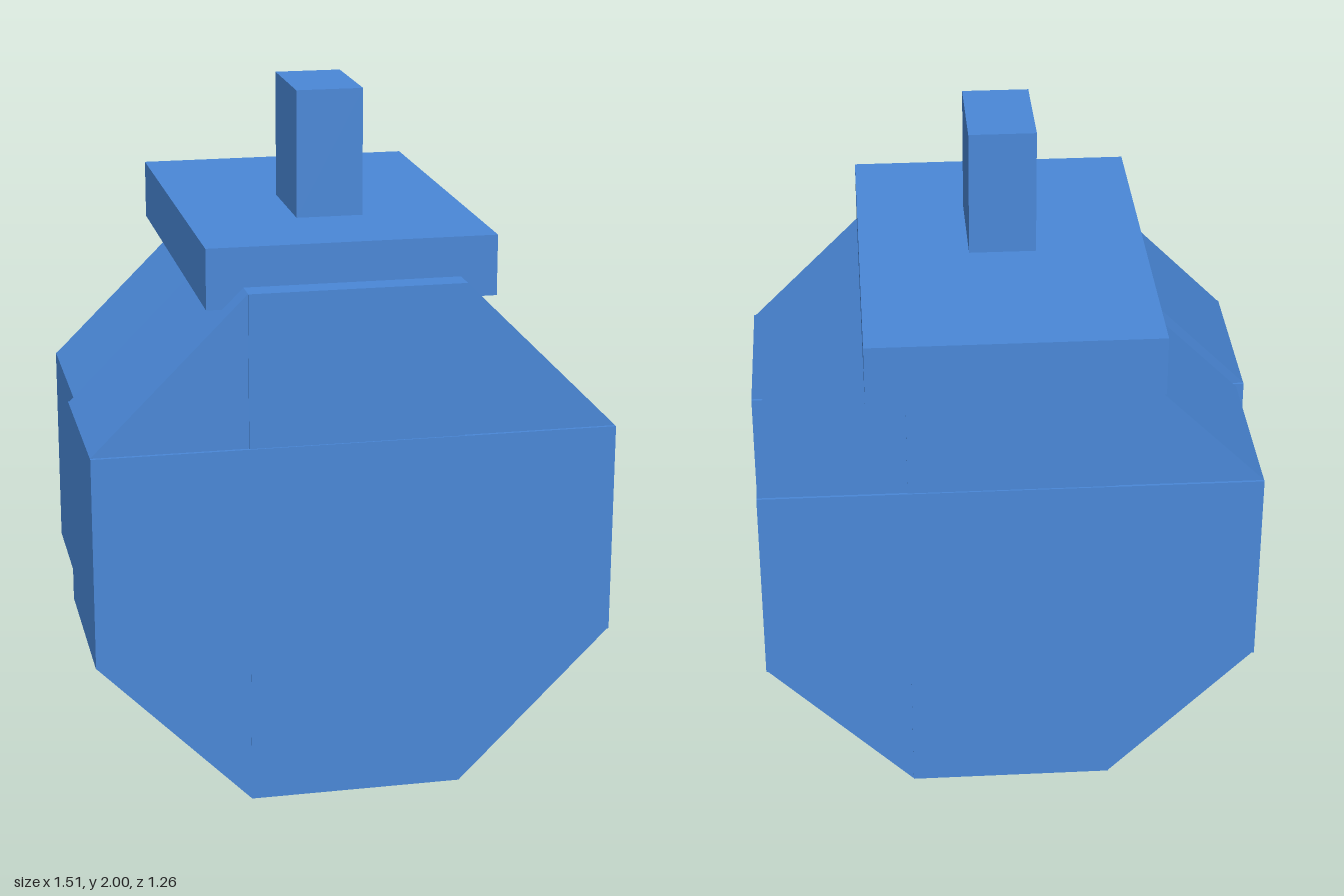
import * as THREE from 'three';

const blue = new THREE.MeshStandardMaterial({ color: 0x4a88d8 });
blue.name = 'blue';
const paleGrey = new THREE.MeshStandardMaterial({ color: 0xaecdd0 });
paleGrey.name = 'pale grey';

// Box given by its limits; the underside may have its own colour
function block(name, [x0, x1], [y0, y1], [z0, z1], under = blue) {
  const geo = new THREE.BoxGeometry(x1 - x0, y1 - y0, z1 - z0);
  const mesh = new THREE.Mesh(geo, [blue, blue, blue, under, blue, blue]);
  mesh.position.set((x0 + x1) / 2, (y0 + y1) / 2, (z0 + z1) / 2);
  mesh.name = name;
  return mesh;
}

// Triangular corner filler between the upright core and the cross band
function wedge(name, xIn, xOut, yIn, yOut, z0, z1, slope) {
  const shape = new THREE.Shape([
    new THREE.Vector2(xIn, yIn),
    new THREE.Vector2(xOut, yIn),
    new THREE.Vector2(xIn, yOut),
  ]);
  const geo = new THREE.ExtrudeGeometry(shape, { depth: z1 - z0, bevelEnabled: false });
  const mesh = new THREE.Mesh(geo, [blue, slope]);
  mesh.position.z = z0;
  mesh.name = name;
  return mesh;
}

// Octagonal body section: core, cross band and four corner wedges
function section(name, { core, wide, bottom, low, high, top, z0, z1 }) {
  const g = new THREE.Group();
  g.name = name;
  g.add(block('core', [-core, core], [bottom, top], [z0 + 0.005, z1 - 0.005], paleGrey));
  g.add(block('crossBand', [-wide, wide], [low, high], [z0, z1], paleGrey));
  for (const s of [-1, 1]) {
    const side = s > 0 ? 'Left' : 'Right';
    g.add(wedge('upperWedge' + side, s * core, s * wide, high, top, z0 + 0.008, z1 - 0.01, blue));
    g.add(wedge('lowerWedge' + side, s * core, s * wide, low, bottom, z0 + 0.008, z1 - 0.006,
      s > 0 ? blue : paleGrey));
  }
  return g;
}

export function createModel() {
  const model = new THREE.Group();
  model.name = 'octagonalBottle';

  // Two body sections, the rear one slightly smaller
  model.add(section('frontBody', {
    core: 0.31, wide: 0.755, bottom: 0, low: 0.447, high: 1.07, top: 1.515, z0: 0.08, z1: 0.632,
  }));
  model.add(section('rearBody', {
    core: 0.3, wide: 0.732, bottom: 0.025, low: 0.455, high: 1.062, top: 1.49, z0: -0.475, z1: 0.09,
  }));

  // Lid and its upright knob
  model.add(block('lid', [-0.415, 0.415], [1.455, 1.63], [-0.632, 0.552]));
  model.add(block('knob', [-0.097, 0.097], [1.63, 2], [-0.08, 0.235]));

  return model;
}
